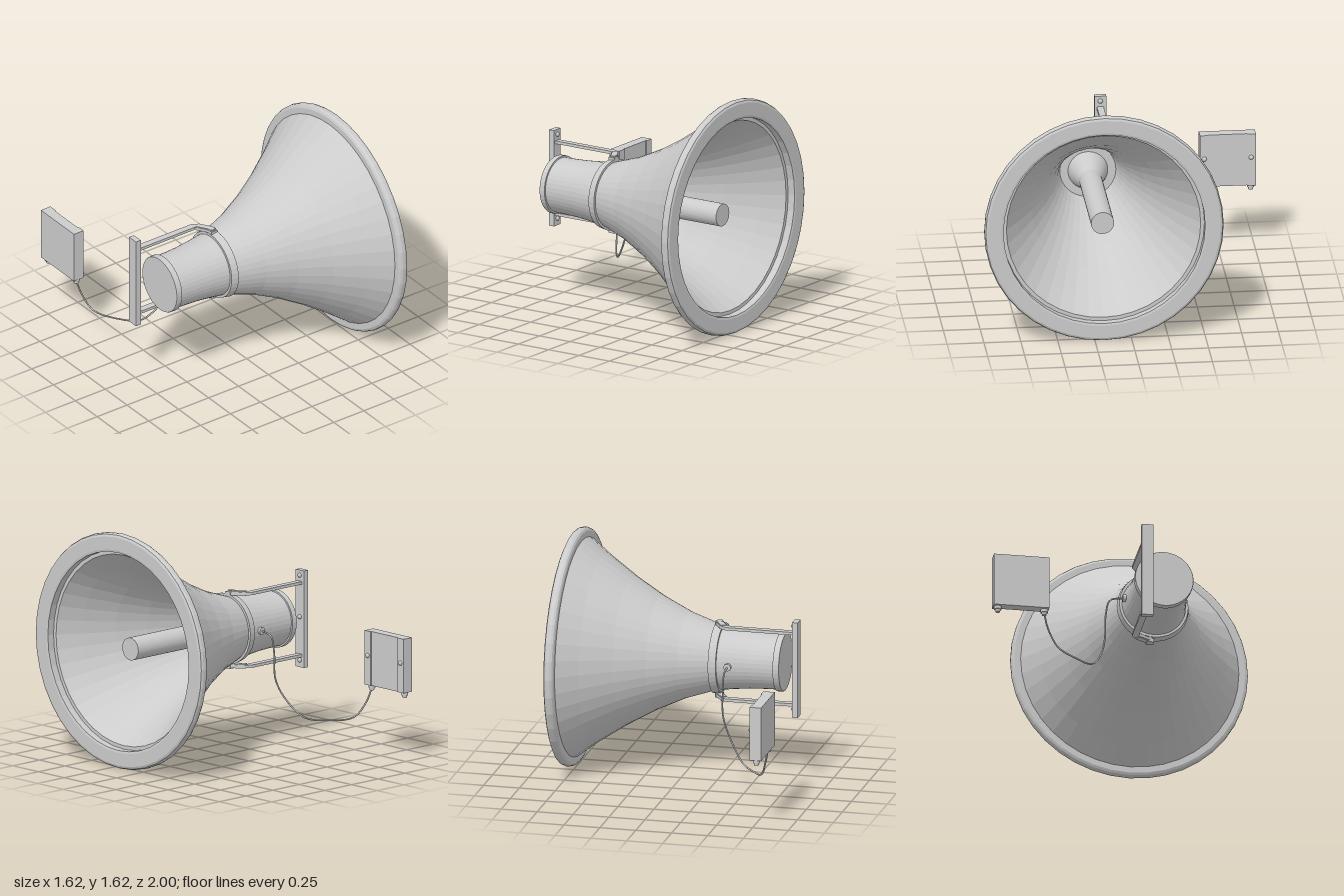
import * as THREE from 'three';

const AXIS_Y = 0.8125, AXIS_Z = 0.1875, SIDES = 40;
const flat = new THREE.MeshStandardMaterial({ color: 0xcccccc, flatShading: true });
const smooth = new THREE.MeshStandardMaterial({ color: 0xcccccc });

export function createModel() {
  const root = new THREE.Group();

  function add(name, geometry, x = 0, y = 0, z = 0, material = flat) {
    const mesh = new THREE.Mesh(geometry, material);
    mesh.name = name;
    mesh.position.set(x, y, z);
    root.add(mesh);
    return mesh;
  }
  function box(name, x0, x1, y0, y1, z0, z1) {
    return add(name, new THREE.BoxGeometry(x1 - x0, y1 - y0, z1 - z0),
      (x0 + x1) / 2, (y0 + y1) / 2, (z0 + z1) / 2);
  }
  // Turned part around the horn axis; profile is [x along axis, radius]
  function turned(name, profile, sides = SIDES) {
    const pts = profile.map(([x, r]) => new THREE.Vector2(r, x));
    const geo = new THREE.LatheGeometry(pts, sides).rotateZ(-Math.PI / 2);
    return add(name, geo, 0, AXIS_Y, AXIS_Z);
  }
  // Round-headed screw pointing along +x
  function screw(name, x, y, z, r = 0.017) {
    const geo = new THREE.SphereGeometry(r, 12, 5, 0, Math.PI * 2, 0, Math.PI / 2).rotateZ(-Math.PI / 2);
    add(name, geo, x, y, z, smooth);
  }

  // Flared horn: outer skin up, then inner skin back to the throat
  turned('horn', [
    [-0.65, 0.189], [-0.55, 0.191], [-0.45, 0.196], [-0.35, 0.206], [-0.25, 0.219],
    [-0.2, 0.229], [0, 0.296], [0.2, 0.39], [0.4, 0.507], [0.6, 0.642], [0.75, 0.755],
    [0.75, 0.66], [0.6, 0.565], [0.4, 0.45], [0.2, 0.352], [0, 0.27], [-0.15, 0.22],
    [-0.28, 0.19], [-0.28, 0],
  ]);
  // Rolled rim at the mouth
  turned('rim', [
    [0.745, 0.685], [0.74, 0.7], [0.74, 0.79], [0.748, 0.805], [0.762, 0.8125], [0.785, 0.8125],
    [0.8, 0.805], [0.807, 0.79], [0.807, 0.7], [0.803, 0.685], [0.745, 0.685],
  ]);
  turned('endCap', [[-0.682, 0], [-0.682, 0.198], [-0.676, 0.201], [-0.64, 0.201], [-0.64, 0.185]]);
  turned('clampBand', [[-0.252, 0.21], [-0.252, 0.236], [-0.2, 0.246], [-0.2, 0.22]]);
  // Conical driver core and central rod
  turned('core', [[-0.28, 0.135], [-0.1, 0.078]]);
  turned('rod', [[-0.28, 0.078], [0.69, 0.078], [0.69, 0]], 32);

  // Mounting plate behind the horn
  box('mountingPlate', -0.81, -0.77, 0.478, 1.15, 0.012, 0.092);
  for (const y of [0.527, 0.827, 1.115]) screw('plateScrew', -0.772, y, 0.052);

  // Bent arms from the plate to the clamp band, above and below
  const outline = [[-0.775, 0.03], [-0.3, 0.03], [-0.262, 0.055], [-0.2, 0.15], [-0.2, 0.172],
    [-0.222, 0.185], [-0.245, 0.178], [-0.305, 0.076], [-0.775, 0.076]];
  const armShape = new THREE.Shape(outline.map(p => new THREE.Vector2(...p)));
  for (const side of [1, -1]) {
    const y = AXIS_Y + side * 0.252;
    const arm = new THREE.ExtrudeGeometry(armShape, { depth: 0.02, bevelEnabled: false })
      .translate(0, 0, -0.01).rotateX(Math.PI / 2);
    add('arm', arm, 0, y, 0);
    add('armBolt', new THREE.CylinderGeometry(0.023, 0.023, 0.032, 12), -0.23, y, 0.16);
    box('bandLug', -0.25, -0.2, y - 0.02, y + 0.006, 0.14, 0.19);
    // Thickened elbow of the arm
    const elbow = add('elbow', new THREE.BoxGeometry(0.1, 0.03, 0.04), -0.255, y, 0.11);
    elbow.rotation.y = -0.99;
  }

  // Junction box with side flanges and a recessed front panel
  box('junctionBox', -0.81, -0.738, 0.475, 0.85, -0.94, -0.68);
  box('boxFlange', -0.81, -0.73, 0.475, 0.85, -0.68, -0.62);
  box('boxFlange', -0.81, -0.73, 0.475, 0.85, -1, -0.94);
  for (const z of [-0.65, -0.968]) {
    screw('boxScrew', -0.732, 0.68, z);
    add('cableGland', new THREE.CylinderGeometry(0.025, 0.025, 0.022, 12), -0.77, 0.464, z);
    add('glandNut', new THREE.CylinderGeometry(0.019, 0.016, 0.025, 12), -0.77, 0.448, z);
  }

  // Cable hanging between the box and the side of the horn
  const path = new THREE.CatmullRomCurve3([
    [-0.77, 0.45, -0.65], [-0.745, 0.35, -0.62], [-0.7, 0.24, -0.545], [-0.6, 0.21, -0.4],
    [-0.5, 0.225, -0.28], [-0.4, 0.35, -0.2], [-0.335, 0.5, -0.162], [-0.33, 0.68, -0.155],
    [-0.33, 0.79, -0.125], [-0.33, 0.8125, -0.03],
  ].map(p => new THREE.Vector3(...p)));
  add('cable', new THREE.TubeGeometry(path, 60, 0.006, 8), 0, 0, 0, smooth);
  const inlet = new THREE.CylinderGeometry(0.025, 0.025, 0.03, 14).rotateX(Math.PI / 2);
  add('cableInlet', inlet, -0.33, AXIS_Y, -0.026);

  return root;
}
